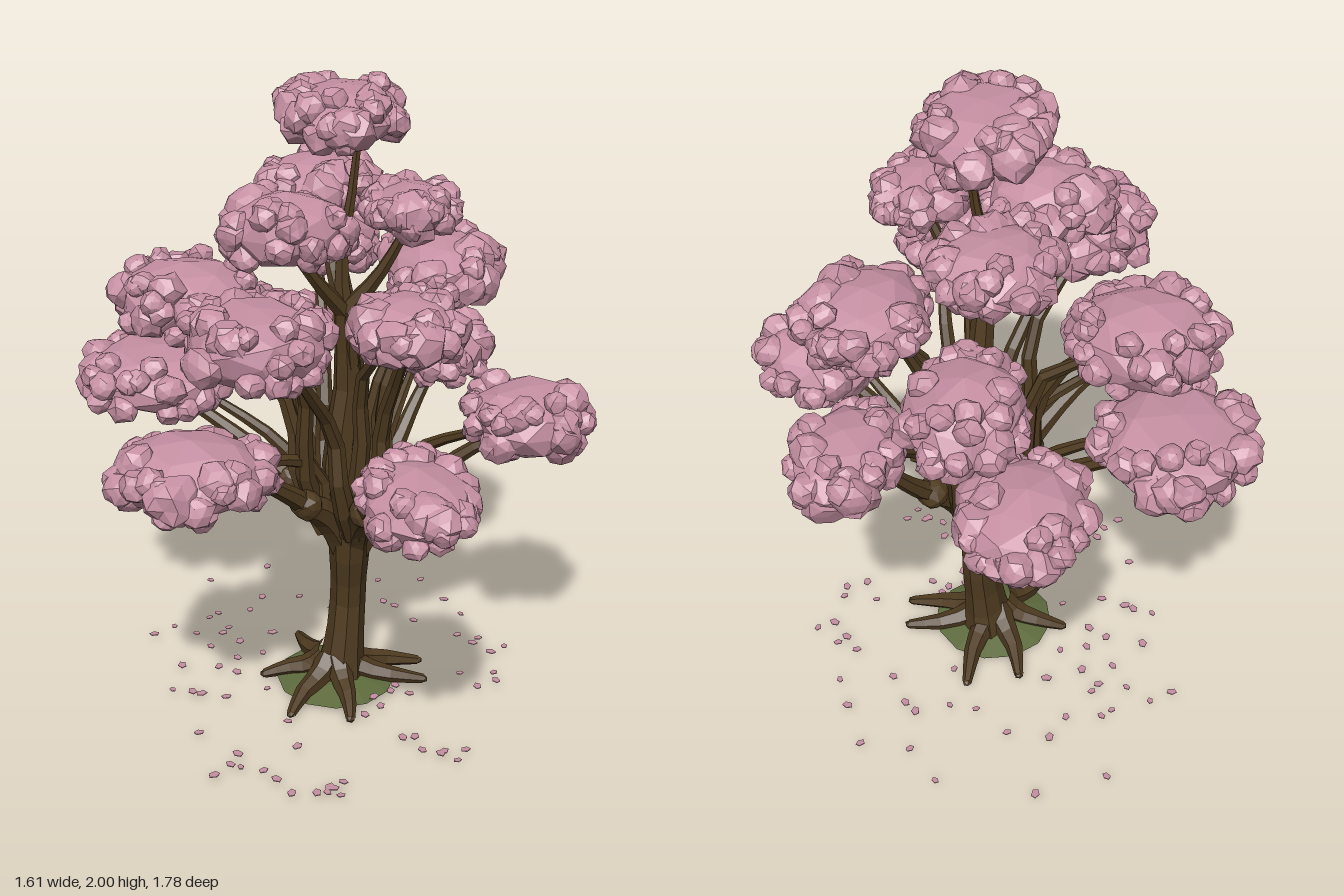
import * as THREE from 'three';
import { mergeGeometries } from 'three/addons/utils/BufferGeometryUtils.js';

const flat = (name, color) => {
  const m = new THREE.MeshStandardMaterial({ color, flatShading: true });
  m.name = name;
  return m;
};
const V = (x, y, z) => new THREE.Vector3(x, y, z);

export function createModel() {
  const tree = new THREE.Group();
  tree.name = 'blossomTree';
  const blossom = flat('blossom pink', 0xc690a3);
  const bark = flat('bark brown', 0x4f3b20);
  const moss = flat('moss green', 0x5e6b3d);

  let seed = 7;
  const rand = () => (seed = (seed * 16807) % 2147483647) / 2147483647;
  const spread = (a) => (rand() * 2 - 1) * a;
  const add = (name, geometry, material, parent = tree) => {
    const mesh = new THREE.Mesh(geometry, material);
    mesh.name = name;
    parent.add(mesh);
  };

  // Faceted lump: icosphere whose shared corners are pushed in or out together
  function lump(center, rx, ry, rz, rough, detail = 1) {
    const g = new THREE.IcosahedronGeometry(1, detail);
    const p = g.attributes.position, push = new Map(), v = V();
    for (let i = 0; i < p.count; i++) {
      v.fromBufferAttribute(p, i);
      const key = v.toArray().map((n) => Math.round(n * 100)).join();
      if (!push.has(key)) push.set(key, 1 + spread(rough));
      v.multiplyScalar(push.get(key));
      p.setXYZ(i, v.x, v.y, v.z);
    }
    g.rotateY(rand() * 6);
    return g.scale(rx, ry, rz).translate(center.x, center.y, center.z);
  }

  // Tapered limb swept through points, each with its own radius
  function limb(points, radii, sides = 7, segments = 6) {
    const curve = new THREE.CatmullRomCurve3(points);
    const g = new THREE.TubeGeometry(curve, segments, 1, sides);
    const p = g.attributes.position, v = V();
    for (let i = 0; i < p.count; i++) {
      const t = Math.floor(i / (sides + 1)) / segments;
      const c = curve.getPointAt(t), s = t * (radii.length - 1);
      const k = Math.min(Math.floor(s), radii.length - 2);
      const r = THREE.MathUtils.lerp(radii[k], radii[k + 1], s - k);
      v.fromBufferAttribute(p, i).sub(c).multiplyScalar(r).add(c);
      p.setXYZ(i, v.x, v.y, v.z);
    }
    return g.toNonIndexed();
  }

  // Trunk: oval in section, flared at the base and at the crotch
  const crotch = V(0.07, 0.5, -0.07);
  add('trunk', limb(
    [V(-0.03, 0.02, 0), V(-0.015, 0.14, 0), V(0, 0.32, -0.018), V(0.003, 0.48, 0), V(0.01, 0.66, 0)],
    [0.105, 0.078, 0.072, 0.072, 0.085, 0.095], 9, 7).scale(0.82, 1, 1.08).translate(0.065, 0, -0.068), bark);

  // Surface roots
  const roots = [];
  for (let i = 0; i < 7; i++) {
    const a = (i / 7) * Math.PI * 2 + 0.35 + spread(0.2), reach = 0.265 + spread(0.03);
    const at = (r, y, turn = 0) => V(0.025 + Math.cos(a + turn) * r, y, -0.05 + Math.sin(a + turn) * r * 1.08);
    const tip = at(reach, 0.02, spread(0.15));
    roots.push(limb([at(0.03, 0.1), at(0.08, 0.06), at(0.16, 0.042), tip], [0.045, 0.036, 0.026, 0.015], 6, 5));
    roots.push(lump(tip, 0.015, 0.013, 0.015, 0.1, 0));
  }
  add('roots', mergeGeometries(roots), bark);

  // Moss mound around the base
  add('mossMound', new THREE.CylinderGeometry(0.1, 0.195, 0.024, 12)
    .translate(0.025, 0.03, -0.05), moss);

  // Foliage pads: centre x, y, z and half sizes
  const lowPads = [
    [0.6, 1.0, 0.05, 0.21, 0.13, 0.23], [0.23, 1.02, 0.64, 0.18, 0.11, 0.25],
    [-0.39, 0.97, 0.37, 0.26, 0.12, 0.25], [-0.54, 1.03, -0.24, 0.27, 0.12, 0.3],
    [-0.17, 1.05, -0.65, 0.21, 0.11, 0.25], [0.38, 1.03, -0.47, 0.18, 0.12, 0.25],
  ];
  const midPads = [
    [0.35, 1.38, -0.27, 0.21, 0.12, 0.26], [0.22, 1.37, 0.27, 0.18, 0.11, 0.21],
    [-0.2, 1.36, 0.36, 0.23, 0.13, 0.26], [-0.43, 1.32, -0.15, 0.24, 0.13, 0.26],
    [0, 1.36, -0.62, 0.19, 0.13, 0.24],
  ];
  const upperPads = [
    [-0.12, 1.6, 0.08, 0.21, 0.13, 0.2], [0.24, 1.64, 0.01, 0.15, 0.09, 0.2],
    [-0.03, 1.63, -0.33, 0.2, 0.1, 0.21], [0.04, 1.895, -0.08, 0.21, 0.108, 0.27],
  ];
  const canopy = new THREE.Group();
  canopy.name = 'canopy';
  tree.add(canopy);
  for (const [x, y, z, rx, ry, rz] of [...lowPads, ...midPads, ...upperPads]) {
    const parts = [lump(V(x, y, z), rx * 0.84, ry * 0.82, rz * 0.84, 0.06)];
    // Uneven puffs crowd the rim and leave the middle of the pad bare
    for (let i = 0; i < 34; i++) {
      const a = i * 2.4 + spread(0.3), r = 0.034 + rand() * rand() * 0.045;
      const lift = spread(1) + 0.1, d = Math.sqrt(1 - 0.5 * lift * lift) * (0.92 + rand() * 0.12);
      parts.push(lump(V(x + Math.cos(a) * (rx - r) * d, y + lift * (ry - r) * 0.85, z + Math.sin(a) * (rz - r) * d),
        r * 1.05, r, r * 1.05, 0.14));
    }
    add('foliagePad', mergeGeometries(parts), blossom, canopy);
  }

  // Heavy limbs with knuckles, each feeding a low pad
  const branches = [];
  for (const [x, y, z] of lowPads) {
    const dir = V(x - crotch.x, 0, z - crotch.z).normalize();
    const out = (r, h) => V(crotch.x + dir.x * r, h, crotch.z + dir.z * r);
    const elbow = out(0.19, 0.71), full = Math.hypot(x - crotch.x, z - crotch.z);
    branches.push(limb([out(0.01, 0.47), out(0.06, 0.58), out(0.12, 0.66), elbow], [0.05, 0.052, 0.05, 0.044]));
    branches.push(lump(elbow, 0.052, 0.05, 0.052, 0.08));
    branches.push(limb([elbow, out(0.25, 0.76), out(0.19 + (full - 0.19) * 0.5, 0.87), out(full - 0.04, y - 0.05)],
      [0.035, 0.026, 0.021, 0.017], 6));
    // Side shoot to the same pad
    branches.push(limb([out(0.12, 0.66), V(elbow.x + spread(0.05), 0.82, elbow.z + spread(0.05)),
      V(x - dir.x * 0.12 + spread(0.06), y - 0.03, z - dir.z * 0.12 + spread(0.06))], [0.03, 0.02, 0.013], 6));
  }

  // Steep, crooked branches to the middle pads, in pairs
  for (const [x, y, z] of midPads) {
    const dx = x - crotch.x, dz = z - crotch.z;
    for (const s of [-1, 1]) {
      const at = (f, h) => V(crotch.x + dx * f - dz * 0.09 * s + spread(0.015), h,
        crotch.z + dz * f + dx * 0.09 * s + spread(0.015));
      branches.push(limb([at(0.12, 0.58), at(0.32, 0.76), at(0.34, 0.95), at(s > 0 ? 0.42 : 0.54, 1.12), at(0.85, y - 0.05)],
        [0.042, 0.031, 0.025, 0.02, 0.014], 6, 7));
    }
  }

  // Central leader and the forks to the upper pads
  const fork = V(0.05, 1.3, -0.05);
  branches.push(limb([V(0.07, 0.55, -0.06), V(0.03, 0.8, -0.04), V(0.06, 1.05, -0.07), fork],
    [0.07, 0.05, 0.044, 0.034], 7));
  branches.push(limb([V(0.08, 0.55, -0.1), V(0.1, 0.85, -0.1), V(0.07, 1.1, -0.06), V(0.06, 1.3, -0.04)],
    [0.05, 0.036, 0.03, 0.026], 6));
  for (const [x, y, z] of upperPads.slice(0, 3)) {
    branches.push(limb([fork, V((x + fork.x) / 2, 1.42, (z + fork.z) / 2), V(x, y - 0.04, z)], [0.03, 0.02, 0.013], 6));
  }
  branches.push(limb([fork, V(0.04, 1.45, -0.06), V(0.07, 1.66, -0.07), V(0.09, 1.84, -0.08)], [0.03, 0.02, 0.015, 0.011], 6));
  add('branches', mergeGeometries(branches), bark);

  // Fallen petals
  const petals = [];
  for (let i = 0; i < 75; i++) {
    const a = rand() * Math.PI * 2, r = Math.sqrt(0.06 + rand() * 0.5), size = 0.011 + rand() * 0.006;
    petals.push(new THREE.CylinderGeometry(size, size, 0.003, 5).scale(1.15, 1, 0.85).rotateY(rand() * 6)
      .translate(-0.02 + Math.cos(a) * r * 0.85, 0.027, -0.1 + Math.sin(a) * r));
  }
  add('fallenPetals', mergeGeometries(petals), blossom);
  return tree;
}
